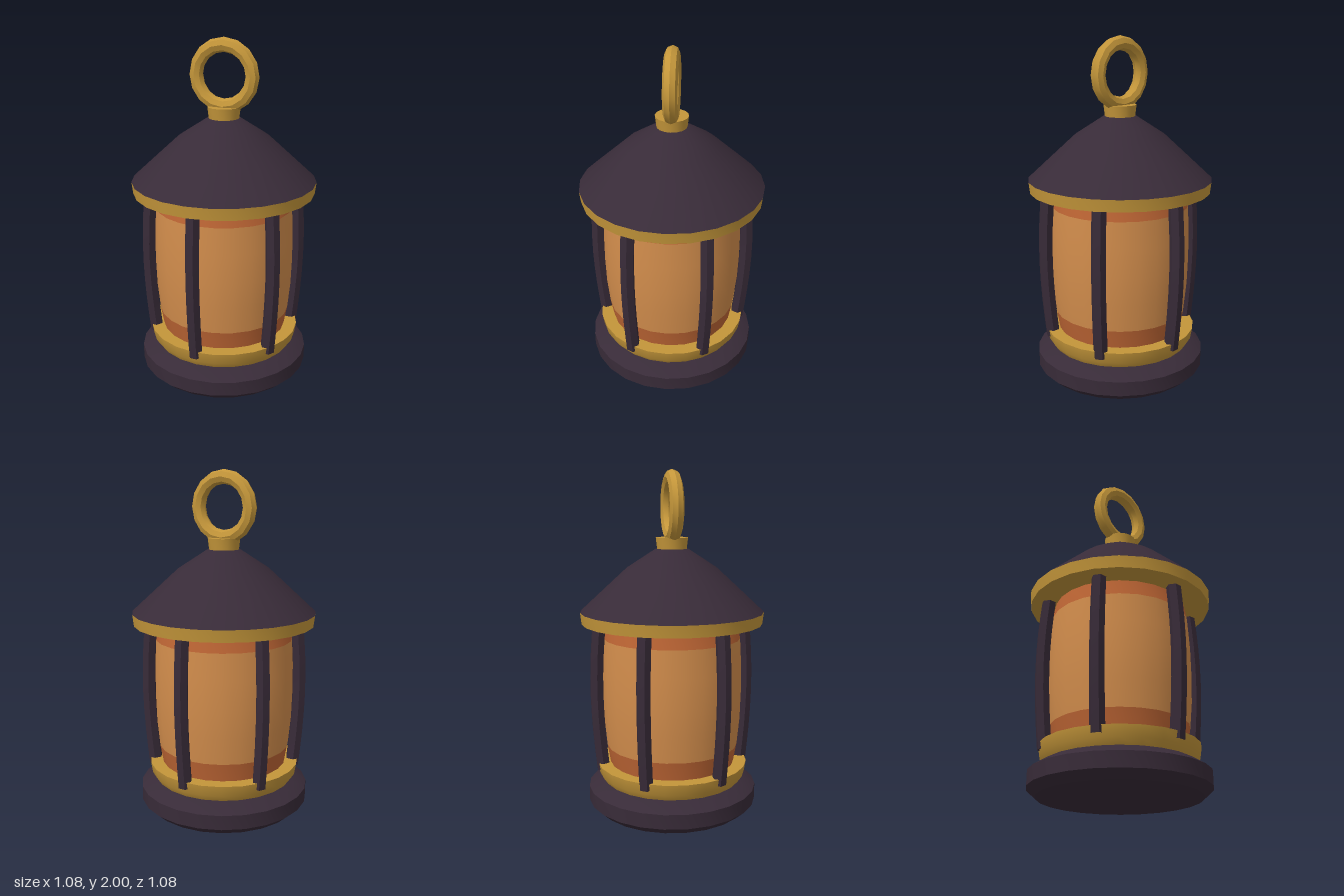
import * as THREE from 'three';
import { toCreasedNormals } from 'three/addons/utils/BufferGeometryUtils.js';

const material = (name, color) => {
  const m = new THREE.MeshStandardMaterial({ color });
  m.name = name;
  return m;
};

export function createModel() {
  const iron = material('dark iron', 0x382b38);
  const brass = material('brass', 0xc4963a);
  const amber = material('amber glass', 0xd28d4c);
  const ember = material('ember orange', 0xbd6534);

  const lantern = new THREE.Group();
  lantern.name = 'lantern';

  const add = (name, geometry, mat, parent = lantern) => {
    const mesh = new THREE.Mesh(toCreasedNormals(geometry, 0.6), mat);
    mesh.name = name;
    parent.add(mesh);
    return mesh;
  };
  // Turned part from [radius, height] pairs, bottom to top
  const turned = (name, profile, mat, sides = 24) =>
    add(name, new THREE.LatheGeometry(profile.map(([r, y]) => new THREE.Vector2(r, y)), sides), mat);

  // Base and collar
  turned('base', [[0, 0], [0.455, 0], [0.505, 0.045], [0.505, 0.13], [0.425, 0.178], [0, 0.178]], iron);
  turned('collar', [[0, 0.17], [0.41, 0.17], [0.44, 0.215], [0.45, 0.278], [0, 0.278]], brass);

  // Barrel-shaped glass with an orange band at each end
  turned('lowerGlassBand', [[0.372, 0.27], [0.392, 0.385]], ember);
  turned('glass', [[0.392, 0.385], [0.407, 0.54], [0.412, 0.7], [0.411, 0.87], [0.402, 1.03]], amber);
  turned('upperGlassBand', [[0.402, 1.03], [0.383, 1.13]], ember);

  // Six bowed hexagonal bars around the glass
  const bow = new THREE.CatmullRomCurve3([
    [0.24, 0.418], [0.45, 0.438], [0.7, 0.45], [0.93, 0.445], [1.15, 0.427],
  ].map(([y, z]) => new THREE.Vector3(0, y, z)));
  const barGeometry = new THREE.TubeGeometry(bow, 8, 0.042, 6);
  const capGeometry = new THREE.CircleGeometry(0.042, 6).rotateX(Math.PI / 2).translate(0, 0.24, 0.418);
  for (let i = 0; i < 6; i++) {
    const bar = new THREE.Group();
    bar.name = `bar${i + 1}`;
    add('barShaft', barGeometry, iron, bar);
    add('barEnd', capGeometry, iron, bar);
    bar.rotation.y = i * Math.PI / 3;
    lantern.add(bar);
  }

  // Roof with its brass rim
  turned('roofRim', [[0, 1.12], [0.53, 1.12], [0.538, 1.188], [0, 1.188]], brass);
  turned('roof', [[0.538, 1.188], [0.265, 1.44], [0.095, 1.55], [0, 1.55]], iron);

  // Finial and carrying ring
  turned('finial', [[0.086, 1.54], [0.095, 1.615], [0, 1.615]], brass, 16);
  add('carryingRing', new THREE.TorusGeometry(0.17, 0.041, 8, 16).translate(0, 1.789, 0), brass);

  return lantern;
}
